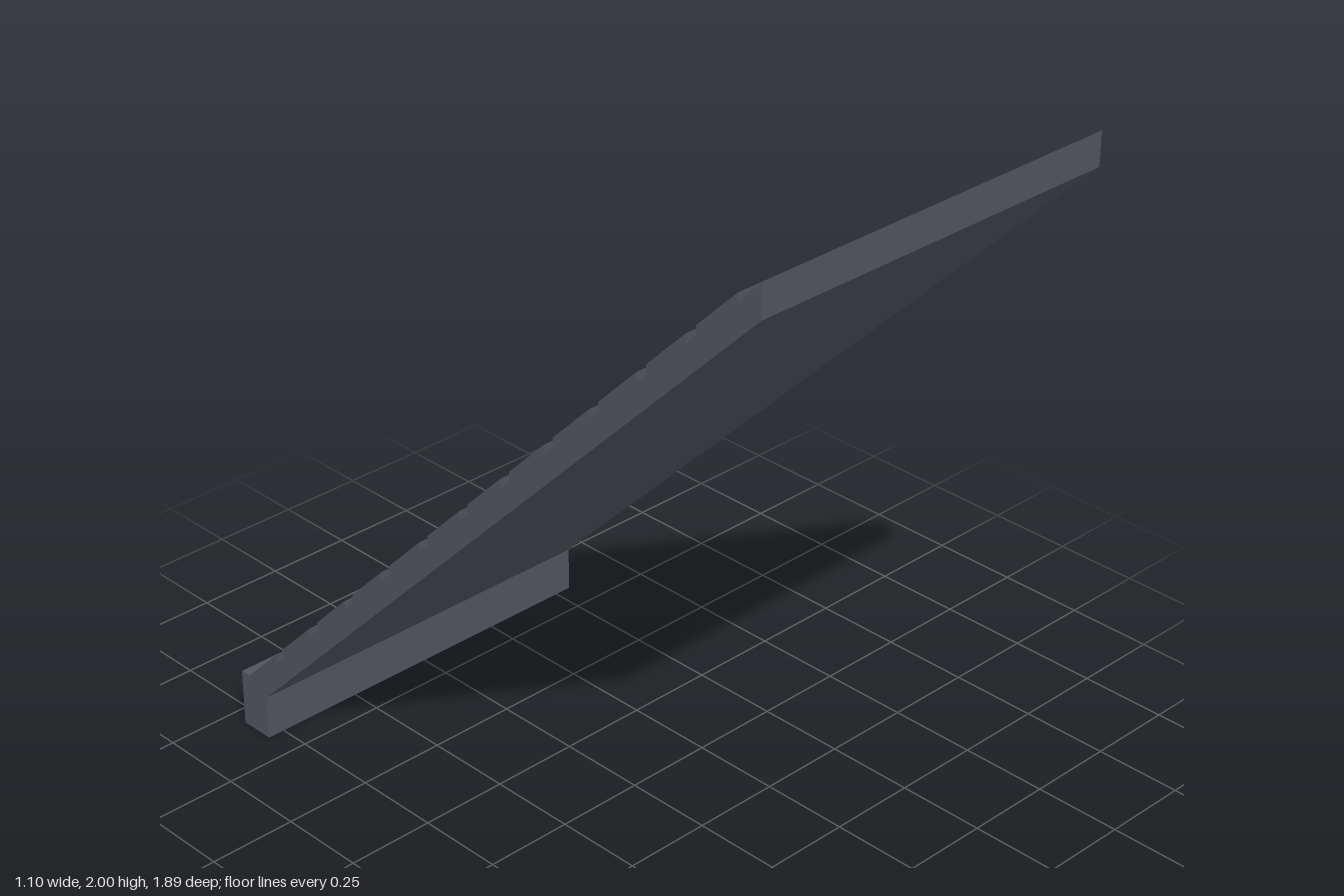
import * as THREE from 'three';

export function createModel() {
  const group = new THREE.Group();
  const material = new THREE.MeshStandardMaterial({ color: 0x50545c });
  const width = 1.1, steps = 12, pitch = 0.151, firstPeak = 0.875;
  const top = (z) => z + 1.075;    // raised tread line
  const groove = (z) => z + 1.05;  // recessed groove line

  // Side profile as (z, y): underside, foot, then the treads from bottom to top
  const points = [[0.945, 2], [0.945, 1.91], [-0.84, 0.128], [-0.84, 0], [-0.942, 0], [-0.942, 0.165]];
  for (let i = steps - 1; i >= 0; i--) {
    const peak = firstPeak - i * pitch;
    const low = i === steps - 1 ? -0.91 : peak - 0.12;
    if (i < steps - 1) points.push([low, groove(low)]);
    points.push([low, top(low)], [peak, top(peak)], [peak, groove(peak)]);
  }
  const shape = new THREE.Shape(points.map(([z, y]) => new THREE.Vector2(z, y)));

  // Extrude across the width and turn the profile to run along z
  const geometry = new THREE.ExtrudeGeometry(shape, { depth: width, bevelEnabled: false });
  geometry.translate(0, 0, -width / 2);
  geometry.rotateY(-Math.PI / 2);

  const ramp = new THREE.Mesh(geometry, material);
  ramp.name = 'ribbedRamp';
  group.add(ramp);
  return group;
}
